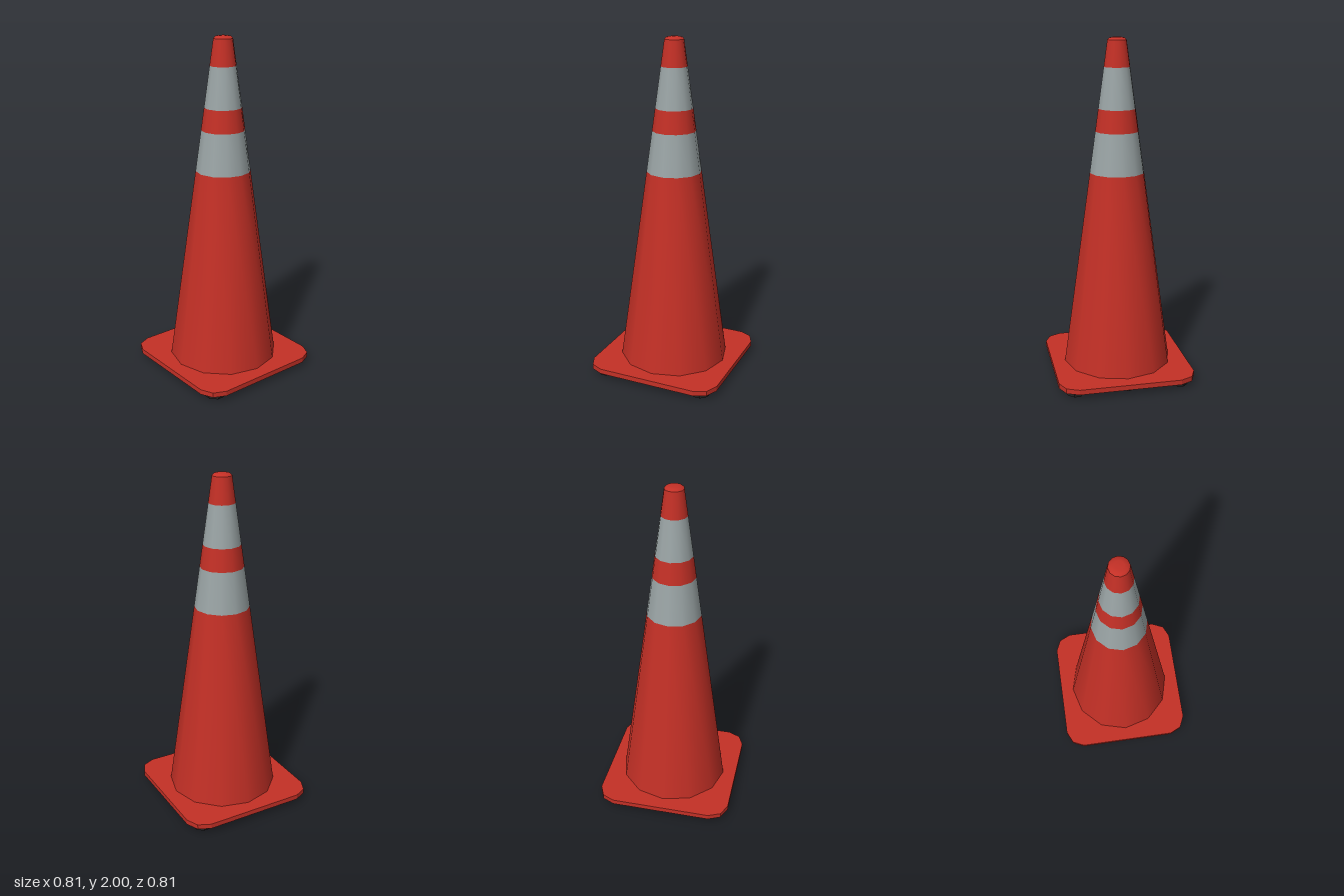
import * as THREE from 'three';

const red = new THREE.MeshStandardMaterial({ color: 0xc43026 });
red.name = 'safety red';
const grey = new THREE.MeshStandardMaterial({ color: 0x9ba5a6 });
grey.name = 'reflective grey';
const black = new THREE.MeshStandardMaterial({ color: 0x2b2b2b });
black.name = 'black rubber';

const BASE_Y = 0.065, PLATE_Y = 0.035;

// Cone radius at a given height
const radiusAt = (y) => 0.325 - (y - BASE_Y) * 0.1403;

function addMesh(parent, name, geometry, material) {
  const mesh = new THREE.Mesh(geometry, material);
  mesh.name = name;
  parent.add(mesh);
  return mesh;
}

// Flat outline in x/z, extruded downwards from topY
function slab(points, topY, depth) {
  const shape = new THREE.Shape(points.map(([x, z]) => new THREE.Vector2(x, z)));
  const geometry = new THREE.ExtrudeGeometry(shape, { depth, bevelEnabled: false });
  return geometry.rotateX(Math.PI / 2).translate(0, topY, 0);
}

// Twelve-sided smooth ring between two heights
function band(y0, y1) {
  const points = [y0, y1].map((y) => new THREE.Vector2(radiusAt(y), y));
  return new THREE.LatheGeometry(points, 12);
}

export function createModel() {
  const model = new THREE.Group();
  model.name = 'trafficCone';

  // Square base plate with clipped corners
  const outline = [];
  for (let i = 0; i < 4; i++) {
    const c = Math.round(Math.cos(i * Math.PI / 2)), s = Math.round(Math.sin(i * Math.PI / 2));
    for (const [x, z] of [[0.405, 0.3], [0.372, 0.372], [0.3, 0.405]]) {
      outline.push([x * c - z * s, x * s + z * c]);
    }
  }
  addMesh(model, 'basePlate', slab(outline, BASE_Y, BASE_Y - PLATE_Y), red);

  // Cone body in alternating bands
  const cone = new THREE.Group();
  cone.name = 'cone';
  model.add(cone);
  const heights = [BASE_Y, 1.23, 1.47, 1.6, 1.835, 1.985];
  const names = ['lowerBody', 'lowerStripe', 'middleBody', 'upperStripe', 'tip'];
  names.forEach((name, i) => {
    addMesh(cone, name, band(heights[i], heights[i + 1]), i % 2 ? grey : red);
  });

  // Softly domed cap
  const cap = [[radiusAt(1.985), 1.985], [0.045, 1.996], [0.025, 2], [0, 2]];
  addMesh(cone, 'cap', new THREE.LatheGeometry(cap.map((p) => new THREE.Vector2(...p)), 12), red);

  // Tapered corner feet and small studs between them
  const foot = slab([[0.27, 0.27], [0.375, 0.27], [0.375, 0.325], [0.352, 0.352],
    [0.325, 0.375], [0.27, 0.375]], PLATE_Y, PLATE_Y);
  const pos = foot.attributes.position;
  for (let i = 0; i < pos.count; i++) {
    if (pos.getY(i) < 0.01) {
      pos.setX(i, 0.325 + (pos.getX(i) - 0.325) * 0.7);
      pos.setZ(i, 0.325 + (pos.getZ(i) - 0.325) * 0.7);
    }
  }
  foot.computeVertexNormals();
  const stud = new THREE.CylinderGeometry(0.022, 0.018, PLATE_Y, 8).toNonIndexed();
  stud.computeVertexNormals();
  stud.translate(0, PLATE_Y / 2, 0.335);
  for (let i = 0; i < 4; i++) {
    addMesh(model, 'cornerFoot', foot, black).rotation.y = i * Math.PI / 2;
    addMesh(model, 'edgeStud', stud, black).rotation.y = i * Math.PI / 2;
  }

  return model;
}
